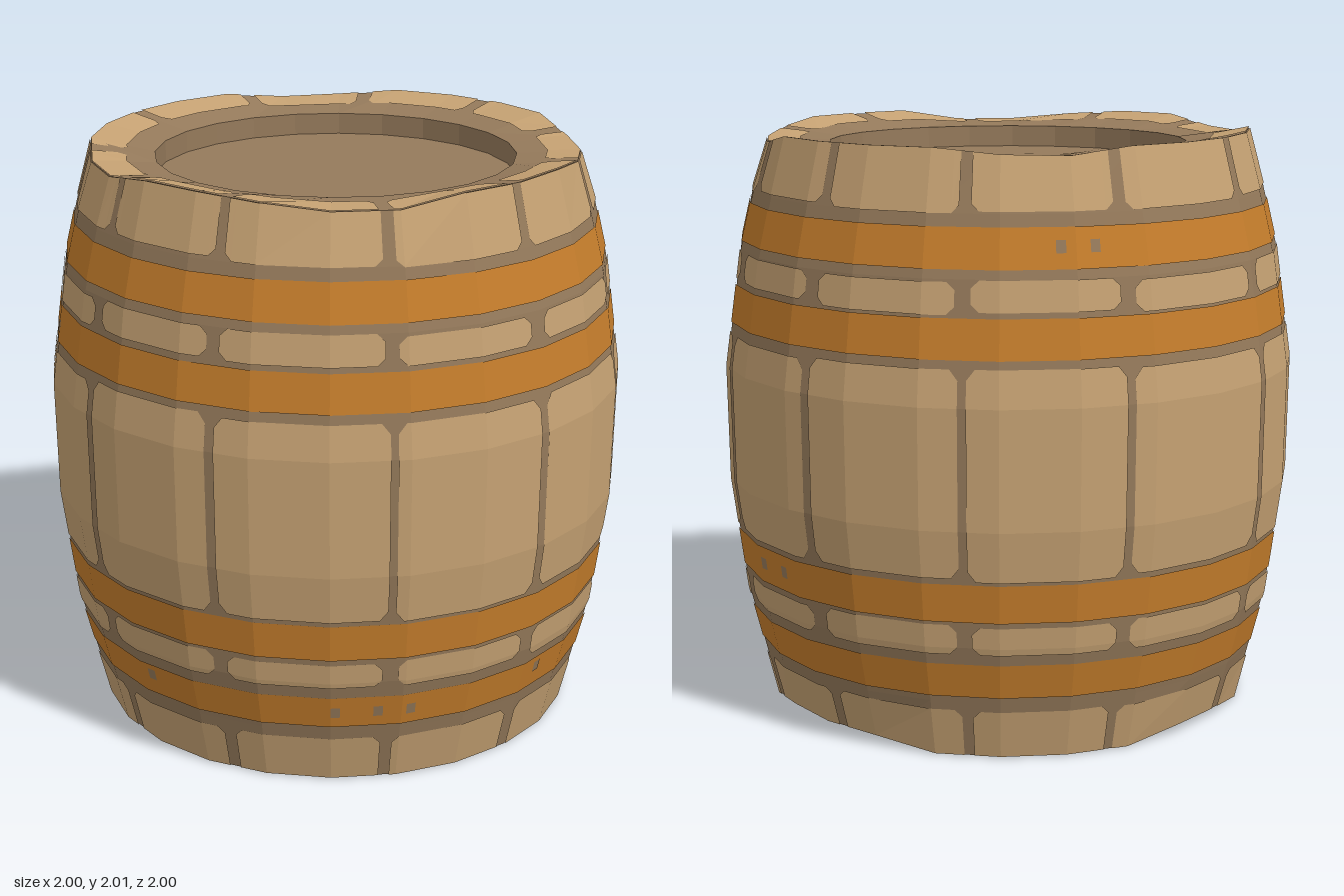
import * as THREE from 'three';

const SIDES = 24, STEP = (Math.PI * 2) / SIDES, DEG = Math.PI / 180;
const LIFT = 0.004; // thickness of painted plates

// Outer barrel curve, [radius, height]
const CURVE = [[0.838, 0], [0.887, 0.2], [0.937, 0.4], [0.99, 0.8], [0.996, 1.2], [0.94, 1.6], [0.892, 1.8], [0.838, 2]];
const BREAKS = CURVE.map((p) => p[1]);

// Hand-cut unevenness of the rims, by side number
const TOP_DIP = { 1: 0.015, 2: 0.035, 3: 0.035, 7: 0.02, 8: 0.035, 9: 0.035, 14: 0.02, 15: 0.025, 21: 0.03, 22: 0.03 };
const BASE_RISE = { 10: 0.03, 11: 0.03, 12: 0.03, 17: 0.03, 18: 0.03 };

// Stave joints in degrees around the barrel, 0 at the front
const JOINTS = [-54, -24, 7, 42, 74, 106, 139, 170, 203, 235, 270, 306];

const clamp = THREE.MathUtils.clamp;
const lerp = THREE.MathUtils.lerp;
const wobble = (n) => { const s = Math.sin(n * 127.1) * 43758.5; return s - Math.floor(s) - 0.5; };

// Point on the faceted barrel at an angle, radius and height
function place(a, r, y) {
  const f = a / STEP, i = Math.floor(f + 1e-6), t = f - i;
  const at = (table) => {
    const get = (k) => table[((k % SIDES) + SIDES) % SIDES] || 0;
    return lerp(get(i), get(i + 1), t);
  };
  const chord = (r * Math.cos(STEP / 2)) / Math.cos((t - 0.5) * STEP);
  const edge = clamp((r - 0.62) / 0.215, 0, 1);
  const h = y - at(TOP_DIP) * edge * clamp((y - 1.8) / 0.2, 0, 1.02) + at(BASE_RISE) * edge * clamp((0.2 - y) / 0.2, 0, 1.02);
  return [Math.sin(a) * chord, h, Math.cos(a) * chord];
}

// Three skins to paint on: side (by height), top rim and base rim (by distance)
function side(y, lift) {
  let k = 0;
  while (k < CURVE.length - 2 && y > CURVE[k + 1][1]) k++;
  const [a, b] = [CURVE[k], CURVE[k + 1]];
  return [lerp(a[0], b[0], (y - a[1]) / (b[1] - a[1])) + lift, y];
}
const topRim = (t, lift) => [0.838 - t, 2 - (0.045 * t) / 0.218 + lift];
const baseRim = (t, lift) => [0.62 + t, 0.045 * (1 - t / 0.218) - lift];

// Angles of a span including every facet edge inside it
function columns(a0, a1, corner) {
  const list = corner ? [a0, a0 + corner, a1 - corner, a1] : [a0, a1];
  for (let k = Math.ceil(a0 / STEP); k * STEP < a1; k++) {
    if (k * STEP > a0 + corner + 0.004 && k * STEP < a1 - corner - 0.004) list.push(k * STEP);
  }
  return list.sort((x, y) => x - y);
}

// Joins neighbouring columns of points with triangles
function addColumns(out, cols) {
  for (let i = 0; i + 1 < cols.length; i++) {
    for (let j = 0; j + 1 < cols[i].length; j++) {
      const a = cols[i][j], b = cols[i + 1][j], c = cols[i + 1][j + 1], d = cols[i][j + 1];
      out.push(...a, ...b, ...c, ...a, ...c, ...d);
    }
  }
}

// One painted plate with clipped corners
function addPlate(out, skin, a0, a1, lo, hi, { corner = 0, cutLo = 0, cutHi = 0, lift = LIFT } = {}) {
  const inner = skin === side ? BREAKS.filter((y) => y > lo + 0.001 && y < hi - 0.001) : [];
  const angles = columns(a0, a1, corner);
  addColumns(out, angles.map((a, i) => {
    const end = corner && (i === 0 || i === angles.length - 1);
    const from = lo + (end ? cutLo : 0), to = hi - (end ? cutHi : 0);
    return [from, ...inner.map((y) => clamp(y, from, to)), to].map((t) => place(a, ...skin(t, lift)));
  }));
}

function makeMesh(name, points, material) {
  const geometry = new THREE.BufferGeometry();
  geometry.setAttribute('position', new THREE.Float32BufferAttribute(points, 3));
  geometry.computeVertexNormals(); // unshared corners give flat facets
  const mesh = new THREE.Mesh(geometry, material);
  mesh.name = name;
  return mesh;
}

function paint(name, hex) {
  const material = new THREE.MeshStandardMaterial({ color: hex });
  material.name = name;
  return material;
}

export function createModel() {
  const barrel = new THREE.Group();
  barrel.name = 'barrel';
  const darkWood = paint('darkWood', 0x957a5b);
  const lightWood = paint('lightWood', 0xc6a273);
  const hoopOrange = paint('hoopOrange', 0xc67e2c);

  // Body: base lid, base recess, rim, side, top rim, top recess, top lid
  const outline = [[0, 0.12], [0.62, 0.12], [0.62, 0.045], ...CURVE, [0.62, 1.955], [0.62, 1.88], [0, 1.88]];
  const body = [];
  addColumns(body, Array.from({ length: SIDES + 1 }, (_, i) => outline.map(([r, y]) => place(i * STEP, r, y))));
  barrel.add(makeMesh('body', body, darkWood));

  // Hoops
  [[0.22, 0.34], [0.49, 0.62], [1.35, 1.48], [1.63, 1.76]].forEach(([lo, hi], i) => {
    const points = [];
    addPlate(points, side, 0, Math.PI * 2, lo, hi);
    barrel.add(makeMesh('hoop' + (i + 1), points, hoopOrange));
  });

  // Rows of worn, lighter wood, one plate per stave
  const rows = [
    { name: 'lowerStaves', skin: side, lo: 0, hi: 0.165, cutHi: 0.025, gap: 1.2 },
    { name: 'lowerStrip', skin: side, lo: 0.375, hi: 0.475, cutLo: 0.025, cutHi: 0.025, gap: 1.5 },
    { name: 'middleStaves', skin: side, lo: 0.635, hi: 1.32, cutLo: 0.035, cutHi: 0.035, gap: 0.8 },
    { name: 'upperStrip', skin: side, lo: 1.495, hi: 1.595, cutLo: 0.025, cutHi: 0.025, gap: 1.5 },
    { name: 'upperStaves', skin: side, lo: 1.805, hi: 2, cutLo: 0.025, gap: 1.2 },
    { name: 'topRimStaves', skin: topRim, lo: 0, hi: 0.12, cutHi: 0.03, gap: 1.8 },
    { name: 'baseRimStaves', skin: baseRim, lo: 0.1, hi: 0.218, cutLo: 0.03, gap: 1.8 },
  ];
  rows.forEach((row, n) => {
    const points = [];
    for (let i = 0; i + 1 < JOINTS.length; i++) {
      const seed = n * 17 + i;
      const a0 = JOINTS[i] + row.gap * (1 + 0.5 * wobble(seed));
      const a1 = JOINTS[i + 1] - row.gap * (1 + 0.5 * wobble(seed + 0.5));
      const lo = row.cutLo ? row.lo + 0.015 * wobble(seed + 0.2) : row.lo;
      const hi = row.cutHi ? row.hi + 0.015 * wobble(seed + 0.7) : row.hi;
      addPlate(points, row.skin, a0 * DEG, a1 * DEG, lo, hi, { ...row, corner: 1.6 * DEG, lift: LIFT });
    }
    barrel.add(makeMesh(row.name, points, lightWood));
  });

  // Small worn nicks in the hoops
  const nicks = [];
  [[-53, 1.41], [-45, 1.41], [-12, 0.3], [31, 0.28], [40, 0.28], [47, 0.28], [80, 0.3], [128, 0.56], [152, 0.56], [160, 0.56], [222, 1.7], [229, 1.7]].forEach(([a, y]) => {
    addPlate(nicks, side, (a - 1) * DEG, (a + 1) * DEG, y - 0.02, y + 0.02, { lift: LIFT + 0.002 });
  });
  barrel.add(makeMesh('hoopNicks', nicks, darkWood));

  return barrel;
}
